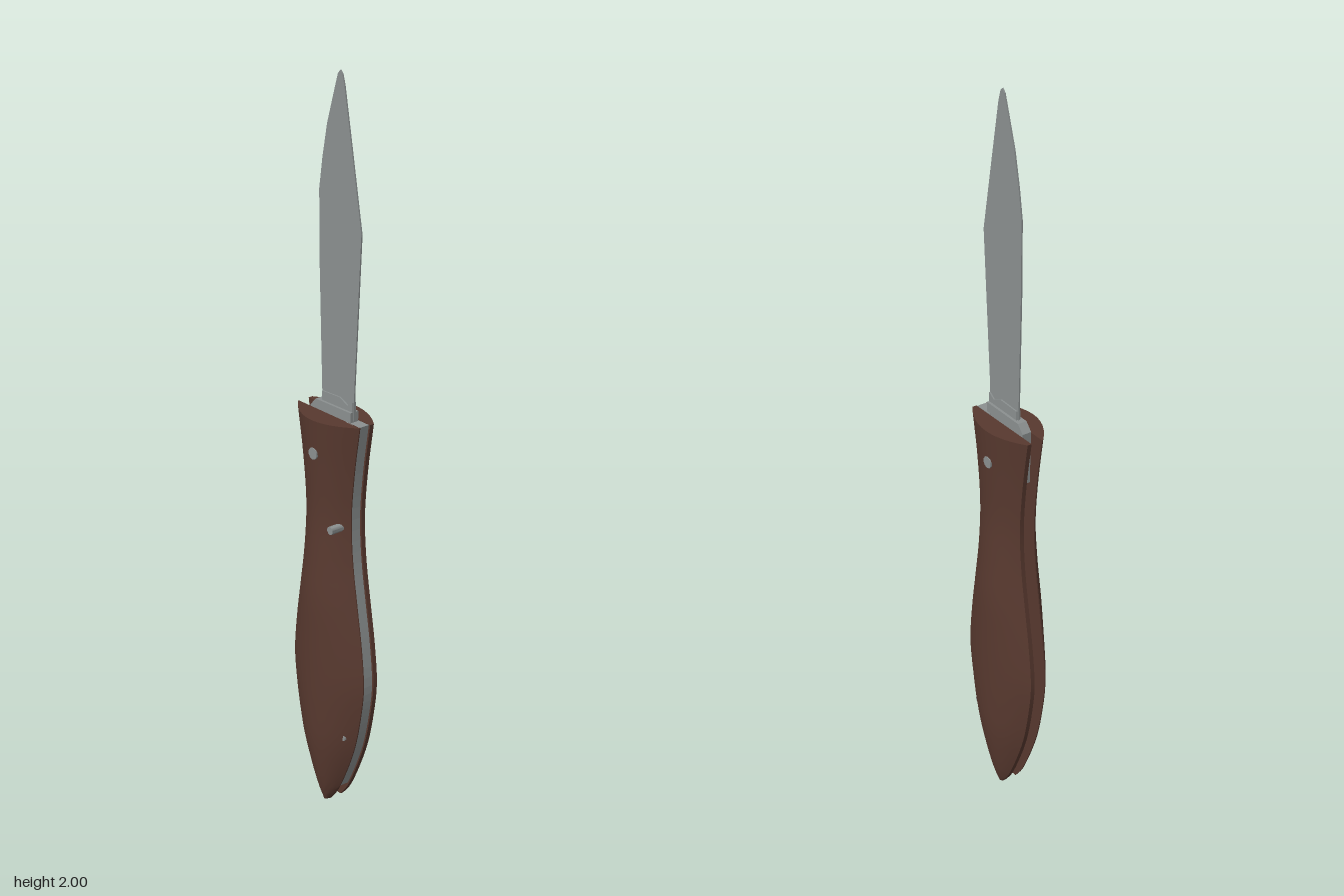
import * as THREE from 'three';
import { toCreasedNormals } from 'three/addons/utils/BufferGeometryUtils.js';

const wood = new THREE.MeshStandardMaterial({ color: 0x58392f });
wood.name = 'brown wood';
const steel = new THREE.MeshStandardMaterial({ color: 0x8b9090 });
steel.name = 'steel';

// handle profile: half width, height, crown depth
const profile = new THREE.CatmullRomCurve3([
  [0.008, 0.005, 0.032], [0.035, 0.04, 0.042], [0.07, 0.11, 0.056], [0.105, 0.2, 0.068],
  [0.128, 0.3, 0.072], [0.139, 0.39, 0.073], [0.13, 0.5, 0.073], [0.113, 0.61, 0.072],
  [0.095, 0.73, 0.064], [0.088, 0.85, 0.058], [0.099, 0.98, 0.063], [0.12, 1.115, 0.073],
].map(p => new THREE.Vector3(...p)));
const rows = profile.getPoints(44);

function mesh(name, geometry, material, parent) {
  const m = new THREE.Mesh(geometry, material);
  m.name = name;
  parent.add(m);
  return m;
}

// one crowned grip scale; side is +1 for front, -1 for back
function scaleGeometry(side, inner, edge) {
  const n = 12, ring = n + 3, pos = [], idx = [];
  const tri = (a, b, c) => idx.push(...(side > 0 ? [a, b, c] : [a, c, b]));
  for (const r of rows) {
    for (let j = 0; j <= n; j++) {
      const t = -1 + 2 * j / n;
      const lip = Math.min(edge, r.z - 0.005);
      pos.push(t * r.x, r.y, side * (lip + (r.z - lip) * (1 - t * t)));
    }
    pos.push(r.x, r.y, side * inner, -r.x, r.y, side * inner);
  }
  for (let i = 0; i < rows.length - 1; i++) {
    for (let j = 0; j < ring; j++) {
      const a = i * ring + j, b = i * ring + (j + 1) % ring;
      tri(a, b, b + ring);
      tri(a, b + ring, a + ring);
    }
  }
  const top = (rows.length - 1) * ring;
  for (let j = 1; j < ring - 1; j++) {
    tri(0, j + 1, j);
    tri(top, top + j, top + j + 1);
  }
  const g = new THREE.BufferGeometry();
  g.setAttribute('position', new THREE.Float32BufferAttribute(pos, 3));
  g.setIndex(idx);
  return toCreasedNormals(g, 0.6);
}

// flat plate centred on z = 0
function plate(points, depth) {
  const shape = new THREE.Shape(points.map(p => new THREE.Vector2(...p)));
  const g = new THREE.ExtrudeGeometry(shape, { depth, bevelEnabled: false });
  return g.translate(0, 0, -depth / 2);
}

function pin(name, radius, x, y, z0, z1, parent) {
  const g = new THREE.CylinderGeometry(radius, radius, z1 - z0, 10).rotateX(Math.PI / 2);
  mesh(name, toCreasedNormals(g, 0.7), steel, parent).position.set(x, y, (z0 + z1) / 2);
}

export function createModel() {
  const knife = new THREE.Group();
  knife.name = 'foldingKnife';

  // grip scales
  const handle = new THREE.Group();
  handle.name = 'handle';
  knife.add(handle);
  mesh('frontScale', scaleGeometry(1, 0.014, 0.017), wood, handle);
  mesh('backScale', scaleGeometry(-1, 0.018, 0.03), wood, handle);

  // steel spine that follows the handle edge, open on the other side
  const edge = rows.filter(r => r.y > 0.04);
  const outer = edge.map(r => [r.x - 0.003, r.y]);
  const innerLine = edge.map(r => [Math.max(r.x - 0.055, -0.01), r.y]).reverse();
  mesh('backSpring', plate([...outer, ...innerLine], 0.032), steel, handle);

  // blade with its tang and shoulder
  const blade = new THREE.Group();
  blade.name = 'bladeAssembly';
  knife.add(blade);
  mesh('blade', plate([
    [-0.04, 1.1], [0.08, 1.1], [0.082, 1.2], [0.106, 1.61], [0.072, 1.8], [0.042, 1.965],
    [0.034, 1.992], [0.027, 2], [0.018, 1.99], [0.004, 1.945], [-0.022, 1.86], [-0.04, 1.77],
    [-0.052, 1.69], [-0.051, 1.5],
  ], 0.004), steel, blade);
  mesh('tang', plate([
    [-0.07, 0.97], [0.06, 0.97], [0.08, 1.05], [0.08, 1.142], [-0.055, 1.14], [-0.075, 1.118],
  ], 0.026), steel, blade);
  mesh('shoulder', plate([
    [-0.038, 1.13], [0.08, 1.13], [0.08, 1.168], [0.06, 1.155], [0.03, 1.168], [-0.038, 1.165],
  ], 0.012), steel, blade);

  // pivot, release stud and rear rivet
  pin('pivotPin', 0.016, 0, 1.022, -0.069, 0.069, handle);
  pin('releaseStud', 0.011, 0.064, 0.83, 0, 0.066, handle);
  pin('rearRivet', 0.008, 0.085, 0.23, -0.045, 0.04, handle);
  return knife;
}
